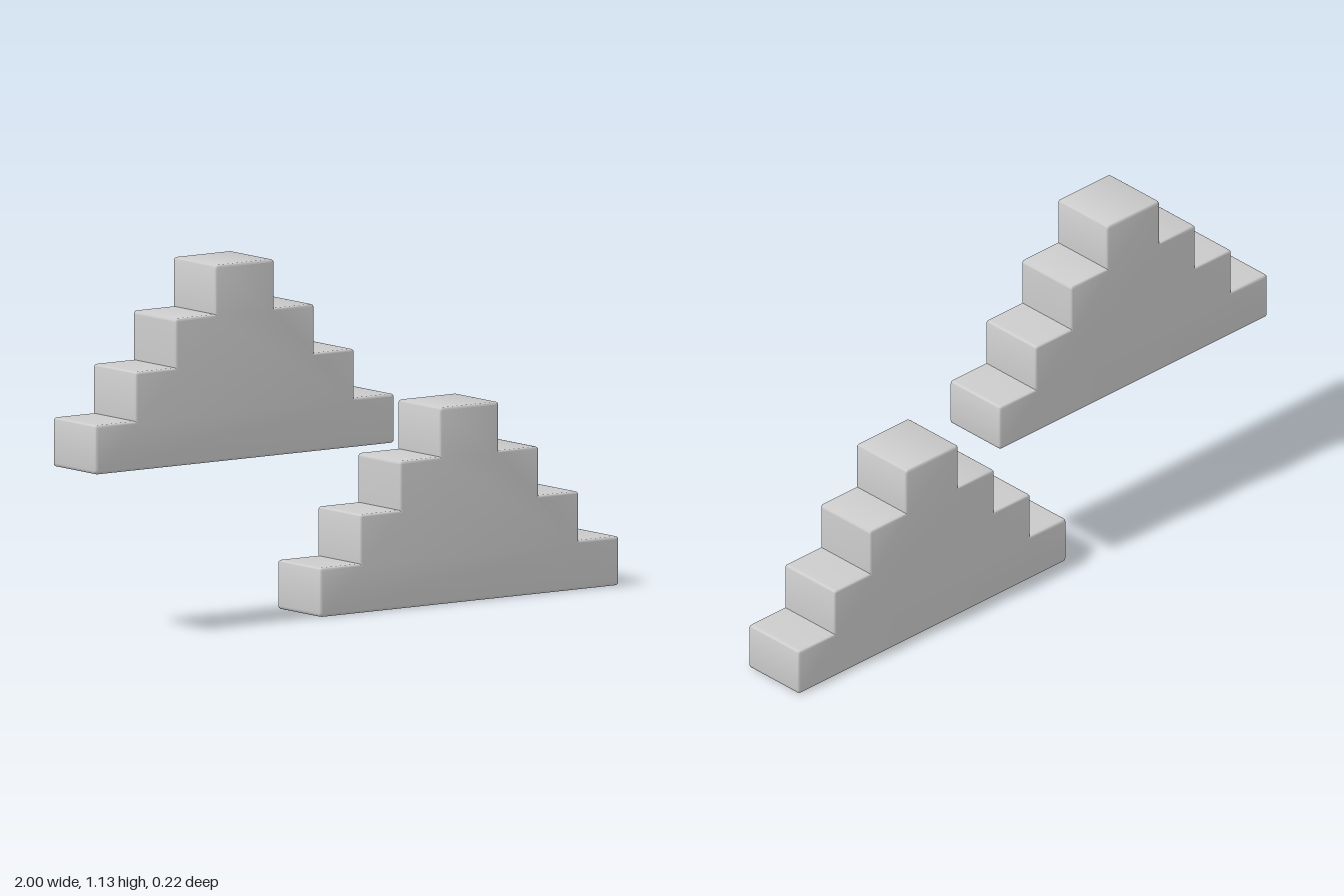
import * as THREE from 'three';
import { toCreasedNormals } from 'three/addons/utils/BufferGeometryUtils.js';

const STEP = 0.153, LEVELS = 4, BASE = 0.571, DEPTH = 0.224, BEVEL = 0.008, ROUND = 0.012;

// Counter-clockwise outline of a stepped pyramid, outer corners slightly rounded
function steppedShape() {
  const right = [new THREE.Vector2(BASE, 0)];
  for (let i = 0; i < LEVELS; i++) {
    const half = BASE - i * STEP;
    if (i > 0) right.push(new THREE.Vector2(half, i * STEP));
    right.push(new THREE.Vector2(half, (i + 1) * STEP));
  }
  const left = right.map((p) => new THREE.Vector2(-p.x, p.y)).reverse();
  const pts = [...right, ...left];
  const shape = new THREE.Shape();
  pts.forEach((p, i) => {
    const toPrev = pts[(i + pts.length - 1) % pts.length].clone().sub(p).normalize();
    const toNext = pts[(i + 1) % pts.length].clone().sub(p).normalize();
    const convex = toNext.cross(toPrev) > 0;
    const a = convex ? p.clone().addScaledVector(toPrev, ROUND) : p;
    if (i === 0) shape.moveTo(a.x, a.y);
    else shape.lineTo(a.x, a.y);
    if (convex) {
      const b = p.clone().addScaledVector(toNext, ROUND);
      shape.quadraticCurveTo(p.x, p.y, b.x, b.y);
    }
  });
  shape.closePath();
  return shape;
}

export function createModel() {
  const group = new THREE.Group();
  group.name = 'steppedBlocks';
  const material = new THREE.MeshStandardMaterial({ color: 0xcccccc });

  // Softly bevelled slab, centred in depth
  const extruded = new THREE.ExtrudeGeometry(steppedShape(), {
    depth: DEPTH - 2 * BEVEL,
    bevelEnabled: true,
    bevelThickness: BEVEL,
    bevelSize: BEVEL,
    bevelOffset: -BEVEL,
    bevelSegments: 3,
    curveSegments: 4,
  });
  extruded.translate(0, 0, -DEPTH / 2 + BEVEL);
  const geometry = toCreasedNormals(extruded, 0.7);

  // Two identical blocks, one raised beside the other
  for (const [name, x, y] of [['lowerSteppedBlock', 0.429, 0], ['upperSteppedBlock', -0.429, 0.519]]) {
    const block = new THREE.Mesh(geometry, material);
    block.name = name;
    block.position.set(x, y, 0);
    group.add(block);
  }
  return group;
}
